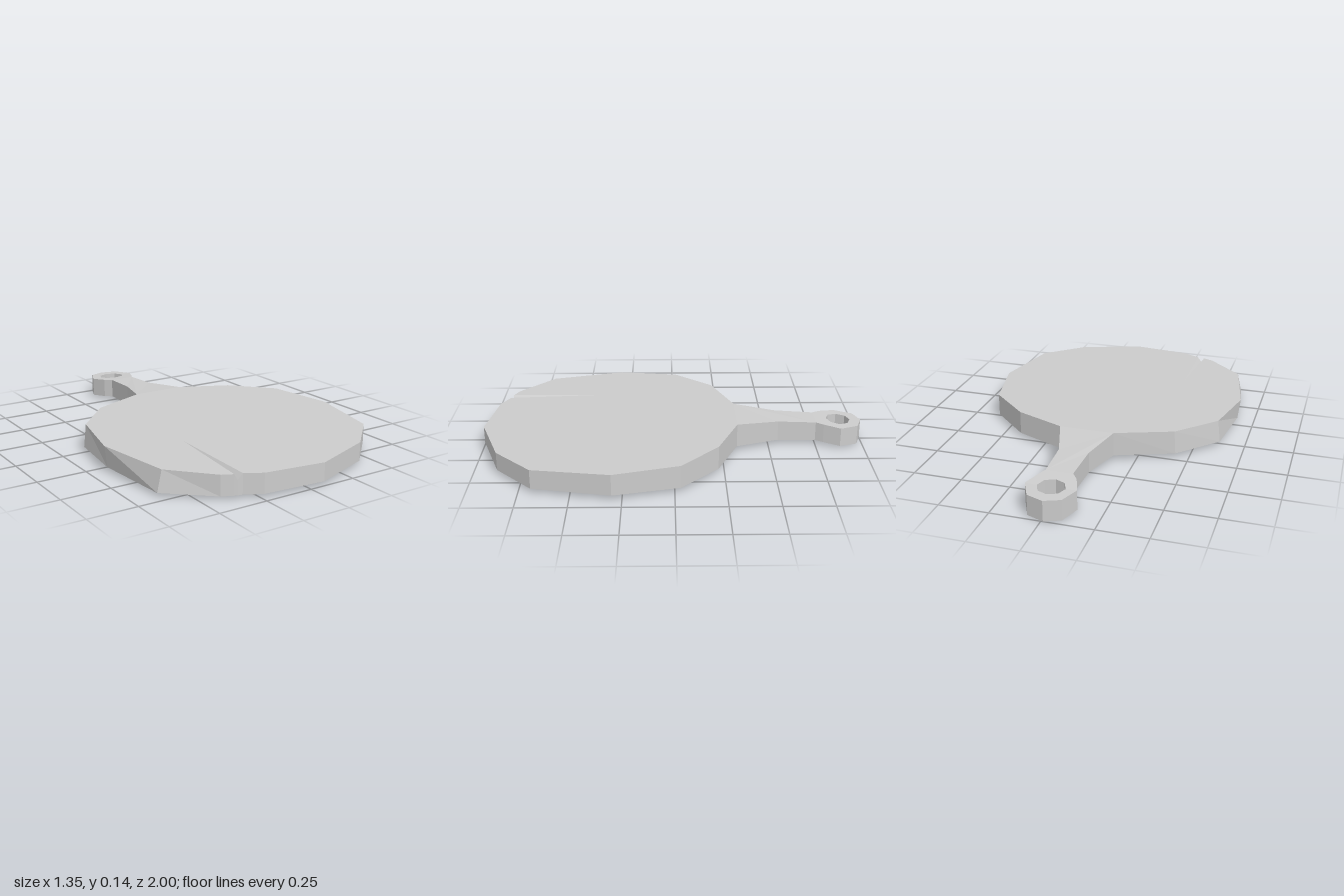
import * as THREE from 'three';

// Outline points are [x, z, optional sideways shift of the bottom edge]
const disc = [
  [0.14, -0.33], [0.40, -0.22], [0.60, -0.03], [0.675, 0.30], [0.60, 0.69], [0.40, 0.88],
  [0.08, 0.995], [-0.23, 0.955], [-0.315, 0.91], [-0.34, 0.905], [-0.355, 0.90], [-0.41, 0.875],
  [-0.597, 0.69, -0.024], [-0.675, 0.30, 0.013], [-0.61, -0.02, -0.013], [-0.425, -0.22, -0.008], [-0.14, -0.33],
];
const GROOVE = 9; // index of the groove's low point on the rim
const grooveTip = [-0.32, 0.43];
const neck = [[-0.14, -0.33], [-0.08, -0.545], [-0.07, -0.75], [0.065, -0.75], [0.07, -0.55], [0.14, -0.33]];
const ring = [
  [-0.07, -0.75], [-0.10, -0.79], [-0.13, -0.875], [-0.09, -0.97], [-0.01, -1],
  [0.075, -0.97], [0.12, -0.875], [0.085, -0.79], [0.065, -0.75],
];
const hole = Array.from({ length: 8 }, (_, i) => {
  const a = -i * Math.PI / 4;
  return [-0.008 + 0.069 * Math.cos(a), -0.878 + 0.064 * Math.sin(a)];
});

// Height profiles along z
const topProfile = [[-1, 0.105], [-0.875, 0.11], [-0.75, 0.122], [-0.545, 0.131], [-0.33, 0.145], [0.995, 0.112]];
const bottomProfile = [[-1, 0], [-0.75, 0.021], [-0.545, 0.025], [-0.33, 0.021], [0.995, 0.02]];
function sample(profile, z) {
  let i = 0;
  while (i < profile.length - 2 && z > profile[i + 1][0]) i++;
  const [[z0, y0], [z1, y1]] = [profile[i], profile[i + 1]];
  return y0 + (y1 - y0) * (z - z0) / (z1 - z0);
}
const topOf = (p) => [p[0], p === disc[GROOVE] ? 0.085 : sample(topProfile, p[1]), p[1]];
const bottomOf = (p) => {
  const sag = p[0] < -0.2 && p[1] > 0.5 ? 0.007 : 0; // front left corner droops a little
  return [p[0] + (p[2] || 0), sample(bottomProfile, p[1]) - sag, p[1]];
};

// Flat cap of one region, wound to face up or down
function cap(out, contour, holes, place, up) {
  const flat = (l) => l.map((p) => new THREE.Vector2(p[0], p[1]));
  const all = [contour, ...holes].flat();
  for (const [i, j, k] of THREE.ShapeUtils.triangulateShape(flat(contour), holes.map(flat))) {
    const [a, b, c] = [all[i], all[j], all[k]];
    const facesUp = (b[1] - a[1]) * (c[0] - a[0]) - (b[0] - a[0]) * (c[1] - a[1]) > 0;
    const tri = facesUp === up ? [a, b, c] : [a, c, b];
    tri.forEach((p) => out.push(...place(p)));
  }
}

// Side wall along a list of points
function wall(out, points) {
  for (let i = 0; i < points.length - 1; i++) {
    const [a, b] = [points[i], points[i + 1]];
    out.push(...bottomOf(a), ...topOf(a), ...topOf(b), ...bottomOf(a), ...topOf(b), ...bottomOf(b));
  }
}

export function createModel() {
  const group = new THREE.Group();
  const material = new THREE.MeshStandardMaterial({ color: 0xcccccc });
  material.name = 'light grey';

  function addPart(name, positions) {
    const geometry = new THREE.BufferGeometry();
    geometry.setAttribute('position', new THREE.Float32BufferAttribute(positions, 3));
    geometry.computeVertexNormals(); // unshared corners give flat faces
    const mesh = new THREE.Mesh(geometry, material);
    mesh.name = name;
    group.add(mesh);
  }

  // Round board, its top split open where the groove runs
  const board = [];
  cap(board, disc.map((p, i) => (i === GROOVE ? grooveTip : p)), [], topOf, true);
  cap(board, disc, [], bottomOf, false);
  wall(board, disc);
  addPart('board', board);

  // Two sloping sides of the V-shaped groove
  const [right, low, left] = disc.slice(GROOVE - 1, GROOVE + 2).map(topOf);
  const tip = topOf(grooveTip);
  addPart('groove', [...tip, ...low, ...right, ...tip, ...left, ...low]);

  // Tapered handle
  const handle = [];
  cap(handle, neck, [], topOf, true);
  cap(handle, neck, [], bottomOf, false);
  wall(handle, neck.slice(0, 3));
  wall(handle, neck.slice(3));
  addPart('handle', handle);

  // Hanging eyelet with its hole
  const eyelet = [];
  cap(eyelet, ring, [hole], topOf, true);
  cap(eyelet, ring, [hole], bottomOf, false);
  wall(eyelet, ring);
  wall(eyelet, [...hole, hole[0]]);
  addPart('eyelet', eyelet);

  return group;
}
